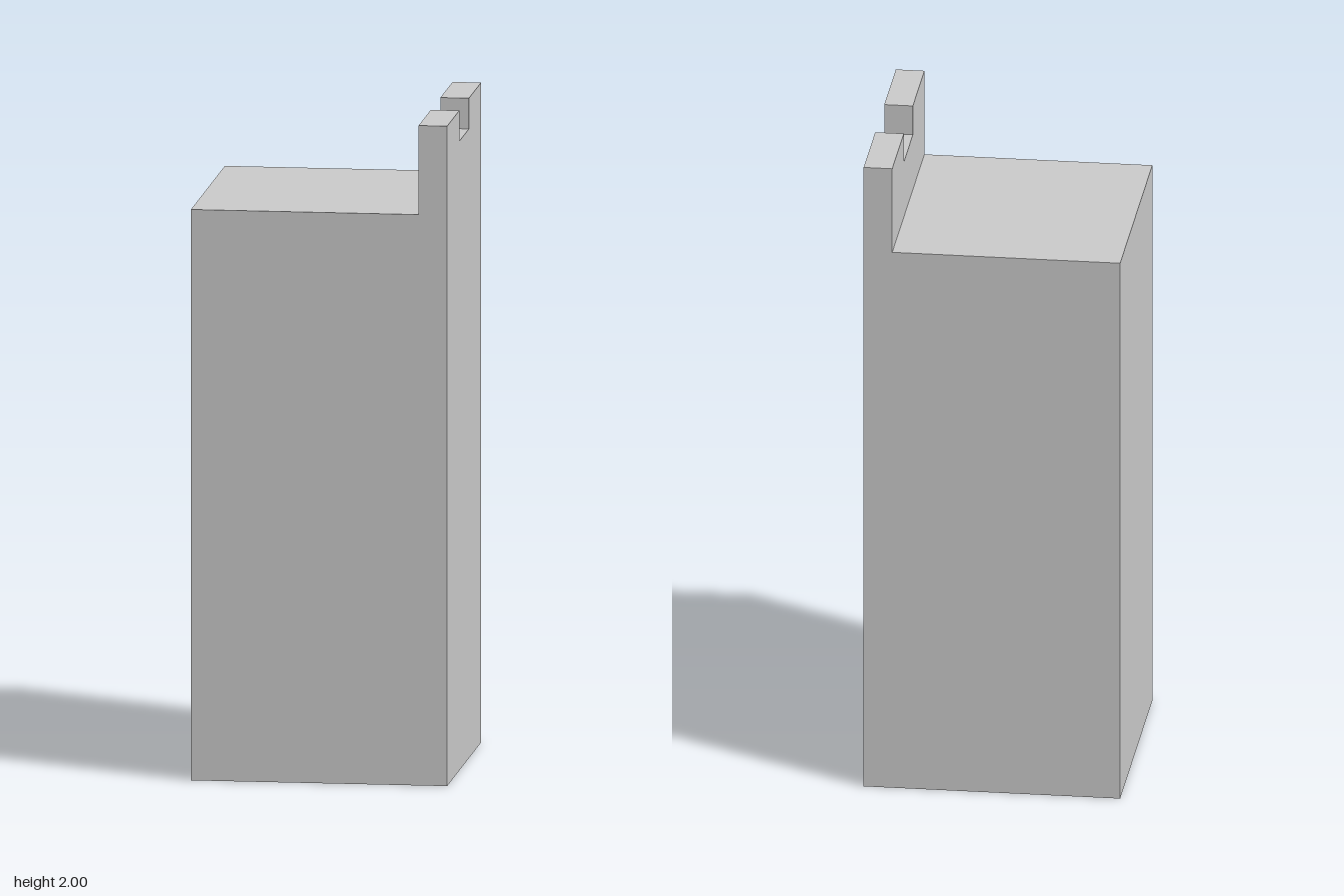
import * as THREE from 'three';

const HALF = 0.386;       // half width of the square tower
const SLAB_Y = 1.57;      // underside of the roof slab
const ROOF_Y = 1.73;      // roof surface
const NOTCH_Y = 1.907;    // floor of the parapet notch
const TOP_Y = 2;
const NOTCH = 0.109;      // half width of the notch
const PARAPET_X = 0.3;    // inner face of the parapet

export function createModel() {
  const group = new THREE.Group();
  const material = new THREE.MeshStandardMaterial({ color: 0xcccccc, flatShading: true });

  const add = (name, geometry) => {
    const mesh = new THREE.Mesh(geometry, material);
    mesh.name = name;
    group.add(mesh);
    return mesh;
  };

  // Square tower shaft and the flush roof slab on top of it
  const block = (name, y0, y1) => {
    add(name, new THREE.BoxGeometry(2 * HALF, y1 - y0, 2 * HALF)).position.y = (y0 + y1) / 2;
  };
  block('towerBody', 0, SLAB_Y);
  block('roofSlab', SLAB_Y, ROOF_Y);

  // Notched parapet along the +x edge: profile in z and y, extruded through x
  const profile = new THREE.Shape([
    [-HALF, ROOF_Y], [HALF, ROOF_Y], [HALF, TOP_Y], [NOTCH, TOP_Y],
    [NOTCH, NOTCH_Y], [-NOTCH, NOTCH_Y], [-NOTCH, TOP_Y], [-HALF, TOP_Y],
  ].map(([z, y]) => new THREE.Vector2(z, y)));
  const parapet = new THREE.ExtrudeGeometry(profile, { depth: HALF - PARAPET_X, bevelEnabled: false });
  parapet.rotateY(Math.PI / 2).translate(PARAPET_X, 0, 0);
  add('parapet', parapet);

  return group;
}
